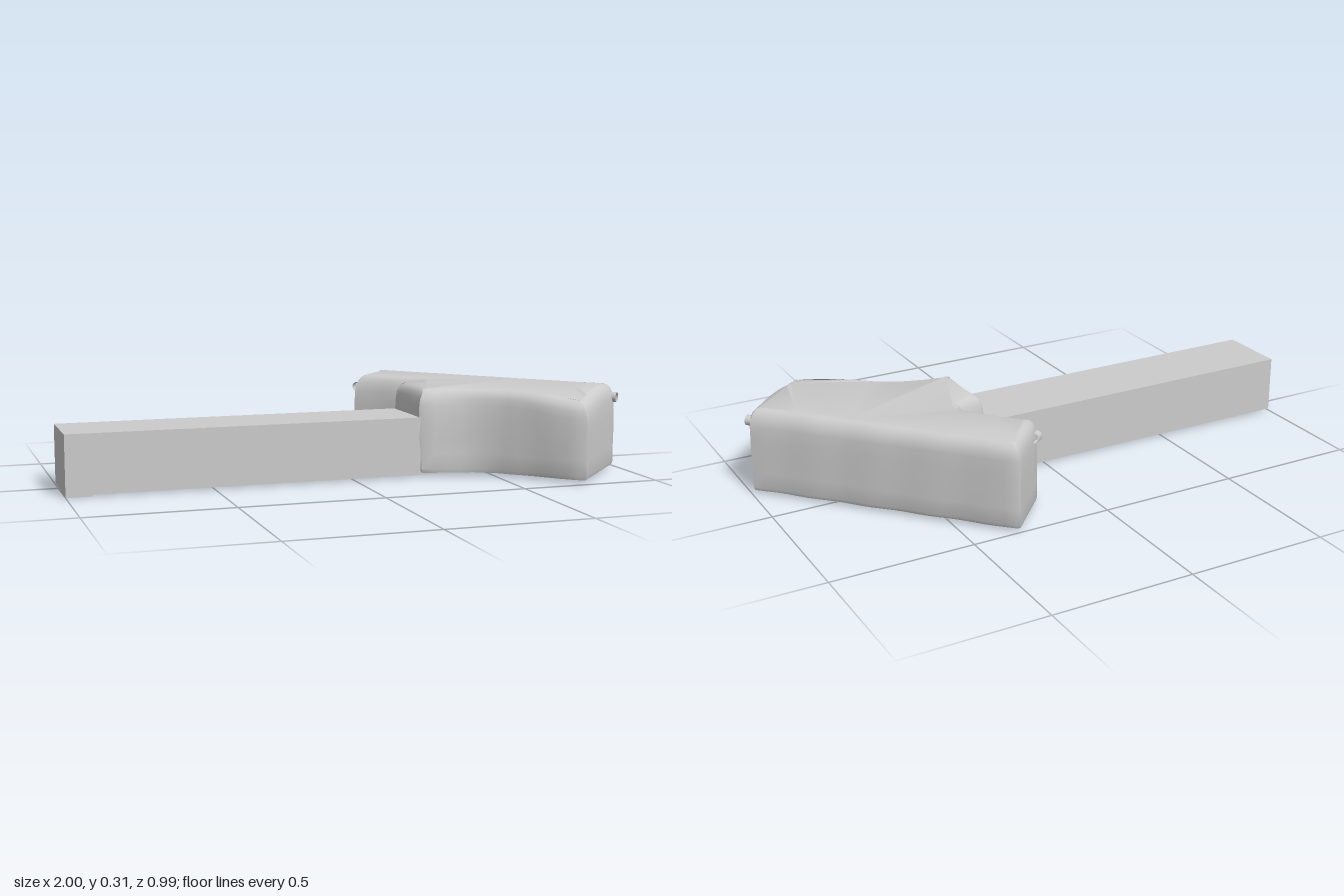
import * as THREE from 'three';
import { toCreasedNormals } from 'three/addons/utils/BufferGeometryUtils.js';

const material = new THREE.MeshStandardMaterial({ color: 0xcccccc, side: THREE.DoubleSide });

function addPart(group, name, geometry, x = 0, y = 0, z = 0) {
  const mesh = new THREE.Mesh(geometry, material);
  mesh.name = name;
  mesh.position.set(x, y, z);
  group.add(mesh);
  return mesh;
}

// Split every edge of a closed outline into short steps
function subdivide(points, step) {
  const out = [];
  points.forEach((p, i) => {
    const q = points[(i + 1) % points.length];
    const n = Math.max(1, Math.round(p.distanceTo(q) / step));
    for (let k = 0; k < n; k++) out.push(p.clone().lerp(q, k / n));
  });
  return out;
}

// Move a counter-clockwise outline inwards by a distance, with mitred corners
function inset(points, distance) {
  const n = points.length;
  const normal = (a, b) => {
    const d = b.clone().sub(a).normalize();
    return new THREE.Vector2(-d.y, d.x);
  };
  return points.map((p, i) => {
    const n1 = normal(points[(i + n - 1) % n], p);
    const n2 = normal(p, points[(i + 1) % n]);
    return n1.clone().add(n2).multiplyScalar(distance / (1 + n1.dot(n2))).add(p);
  });
}

// Stack outlines at [height, inset] levels, closed at both ends
function loftOutline(outline, levels) {
  const n = outline.length;
  const positions = [];
  const index = [];
  levels.forEach(([y, d]) => {
    for (const p of inset(outline, d)) {
      const z = -p.y;
      // gently uneven, hand-shaped surface; the top dips towards the front end
      const wobble = 0.003 * Math.sin(23 * p.x + 31 * y) * Math.cos(19 * z - 27 * y);
      const dip = 0.03 * THREE.MathUtils.smoothstep(z, 0.28, 0.5) * (y > 0.2 ? 1 : 0);
      positions.push(p.x + wobble, y - dip, z - wobble);
    }
  });
  for (let l = 0; l < levels.length - 1; l++) {
    for (let i = 0; i < n; i++) {
      const j = (i + 1) % n;
      const a = l * n + i, b = l * n + j, c = b + n, d = a + n;
      index.push(a, b, c, a, c, d);
    }
  }
  const top = (levels.length - 1) * n;
  const caps = THREE.ShapeUtils.triangulateShape(inset(outline, levels.at(-1)[1]), []);
  for (const [a, b, c] of caps) index.push(top + a, top + b, top + c, c, b, a);
  const geometry = new THREE.BufferGeometry();
  geometry.setAttribute('position', new THREE.Float32BufferAttribute(positions, 3));
  geometry.setIndex(index);
  return toCreasedNormals(geometry, 0.65);
}

export function createModel() {
  const group = new THREE.Group();
  group.name = 'angledBlockWithBeam';

  // Long square-edged beam and the thin pad under its end
  addPart(group, 'beam', new THREE.BoxGeometry(1.35, 0.205, 0.25), -0.325, 0.1085, 0.053);
  addPart(group, 'footPad', new THREE.BoxGeometry(0.09, 0.008, 0.11), -0.955, 0.004, 0.123);

  // Slanted head with a collar around the beam, drawn as (x, z) from above
  const corners = [
    [0.33, -0.50], [0.185, -0.345], [0.17, -0.32], [0.325, -0.15], [0.34, -0.115],
    [0.325, -0.085], [0.295, -0.077], [0.25, -0.077], [0.24, -0.065], [0.24, 0.175],
    [0.25, 0.182], [0.34, 0.195], [0.43, 0.225], [0.50, 0.265], [0.71, 0.48],
    [0.735, 0.49], [0.98, 0.225], [0.99, 0.20], [0.345, -0.495],
  ].map(([x, z]) => new THREE.Vector2(x, -z));
  const levels = [
    [0.012, 0.004], [0.025, 0], [0.08, 0], [0.14, 0], [0.2, 0], [0.25, 0.002],
    [0.275, 0.006], [0.293, 0.014], [0.304, 0.025], [0.309, 0.038],
  ];
  addPart(group, 'head', loftOutline(subdivide(corners, 0.04), levels));

  // Small hollow studs on the end faces of the head
  const studs = [[0.975, 0.26, 0.225, 1], [0.2, 0.26, -0.365, -1]];
  for (const [x, y, z, side] of studs) {
    const stud = new THREE.CylinderGeometry(0.018, 0.018, 0.03, 16, 1, true);
    stud.rotateZ(Math.PI / 2);
    addPart(group, 'stud', stud, x, y, z).rotation.y = -side * Math.PI / 4;
  }
  return group;
}
